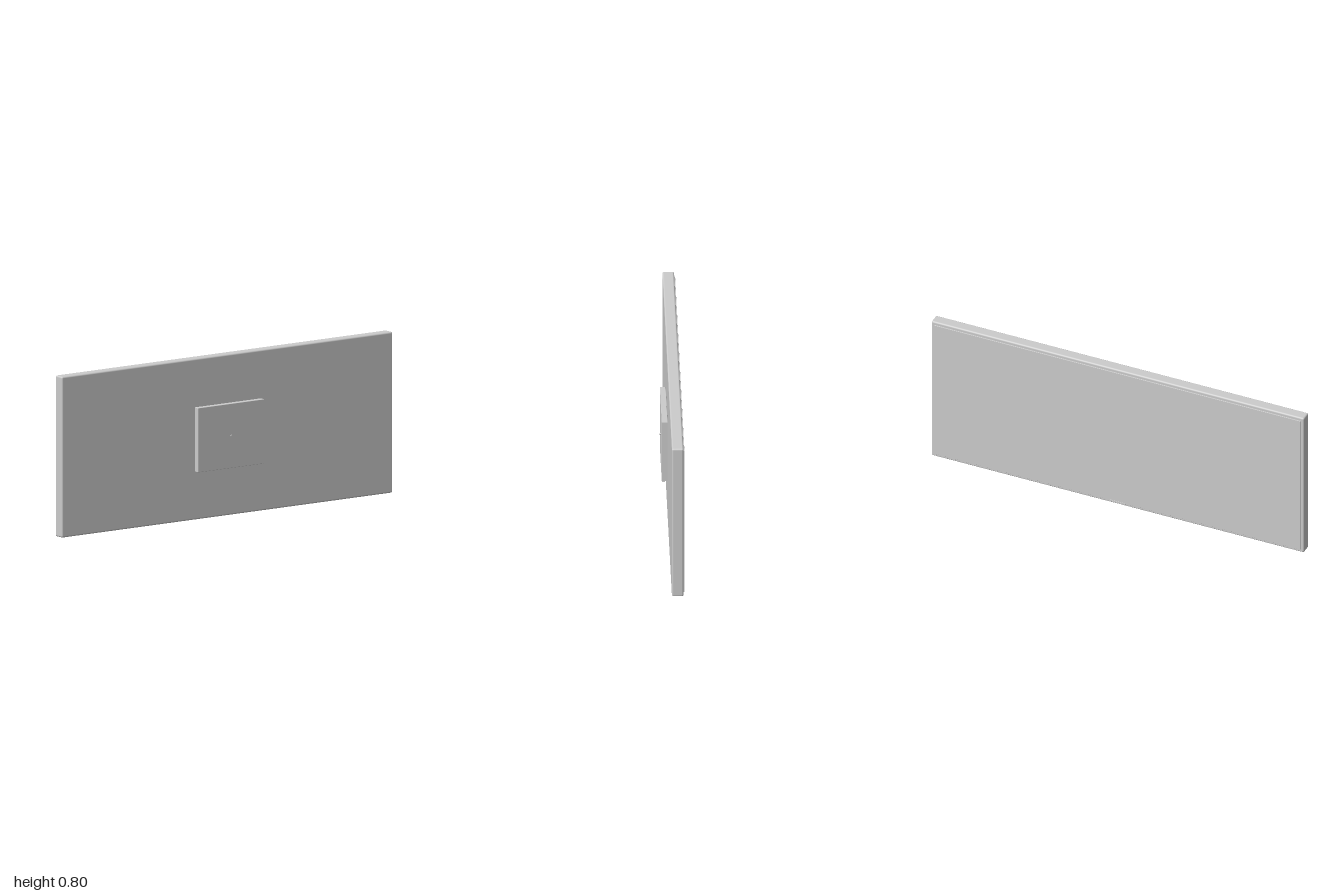
import * as THREE from 'three';
import { RoundedBoxGeometry } from 'three/addons/geometries/RoundedBoxGeometry.js';

export function createModel() {
  const group = new THREE.Group();
  const grey = new THREE.MeshStandardMaterial({ color: 0xcccccc });
  grey.name = 'light grey';

  const add = (name, geometry, x, y, z) => {
    const mesh = new THREE.Mesh(geometry, grey);
    mesh.name = name;
    mesh.position.set(x, y, z);
    group.add(mesh);
    return mesh;
  };
  // rounded box given by its lower and upper limits, centred on x
  const slab = (name, width, [y0, y1], [z0, z1], radius) =>
    add(name, new RoundedBoxGeometry(width, y1 - y0, z1 - z0, 3, radius),
      0, (y0 + y1) / 2, (z0 + z1) / 2);

  // flat panel housing
  slab('housing', 2, [0, 0.8], [-0.044, 0.013], 0.008);

  // display, slightly proud of the housing on the rear side
  slab('screen', 1.97, [0.017, 0.783], [-0.049, -0.04], 0.001);

  // small tab at the middle of the lower bezel
  slab('bezelTab', 0.085, [0.009, 0.02], [-0.05, -0.04], 0.001);

  // wall mounting plate with a central pin
  slab('mountPlate', 0.4, [0.24, 0.56], [0.015, 0.044], 0.002);
  const pin = add('mountPin', new THREE.CylinderGeometry(0.005, 0.005, 0.04, 12), 0, 0.401, 0.03);
  pin.rotation.x = Math.PI / 2;

  return group;
}
